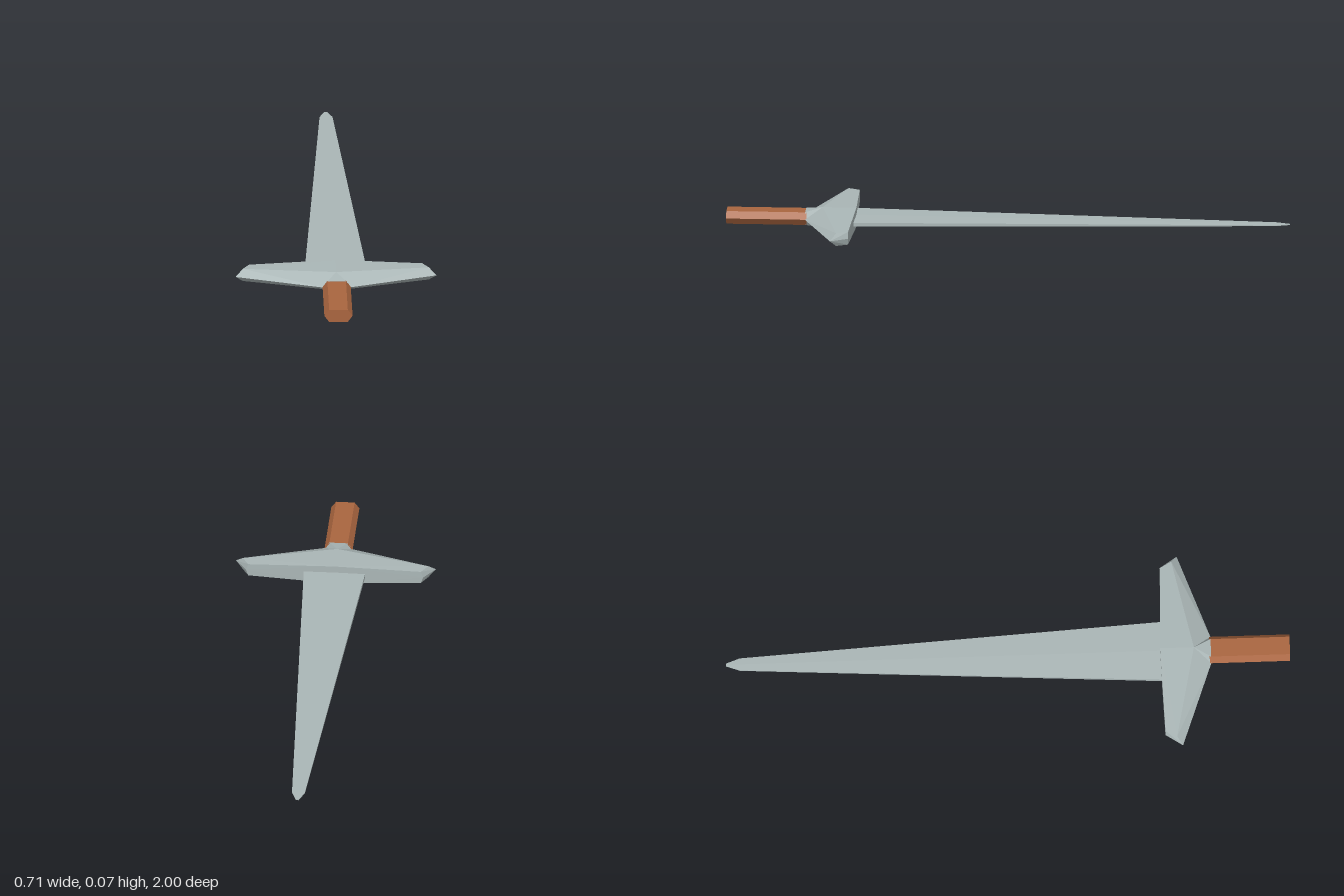
import * as THREE from 'three';
import { ConvexGeometry } from 'three/addons/geometries/ConvexGeometry.js';

const MID = 0.035; // height of the sword's horizontal plane of symmetry

// Convex solid from corner points [x, height above mid-plane, z], mirrored in x and y
function mirroredSolid(corners) {
  const points = [];
  for (const [x, h, z] of corners) {
    for (const sx of x ? [1, -1] : [1]) {
      for (const sy of h ? [1, -1] : [1]) points.push(new THREE.Vector3(sx * x, MID + sy * h, z));
    }
  }
  return new ConvexGeometry(points);
}

export function createModel() {
  const steel = new THREE.MeshStandardMaterial({ color: 0xaab6b6, flatShading: true });
  steel.name = 'steel';
  const wood = new THREE.MeshStandardMaterial({ color: 0xa9653f, flatShading: true });
  wood.name = 'wood';

  const sword = new THREE.Group();
  sword.name = 'sword';
  const add = (name, geometry, material) => {
    const mesh = new THREE.Mesh(geometry, material);
    mesh.name = name;
    sword.add(mesh);
  };

  // Blade: long taper with a faint central ridge and a short blunt point
  add('blade', mirroredSolid([
    [0, 0.010, 0.56], [0.11, 0.007, 0.56],
    [0, 0.002, -0.95], [0.023, 0.0015, -0.95],
    [0.005, 0.001, -1],
  ]), steel);

  // Crossguard: flat back, sloping front faces, bevelled ends
  add('crossguard', mirroredSolid([
    [0, 0.035, 0.54], [0, 0.035, 0.66],
    [0.307, 0.023, 0.549], [0.33, 0.023, 0.59],
    [0.315, 0, 0.549], [0.356, 0, 0.61],
    [0.05, 0, 0.72],
  ]), steel);

  // Collar: facets running from the guard's ridge down to the grip
  add('collar', mirroredSolid([
    [0, 0.035, 0.66], [0.033, 0.0235, 0.72], [0.05, 0, 0.72],
  ]), steel);

  // Grip: six-sided bar
  add('grip', mirroredSolid([
    [0.033, 0.023, 0.715], [0.05, 0, 0.715],
    [0.033, 0.023, 1], [0.05, 0, 1],
  ]), wood);

  return sword;
}
